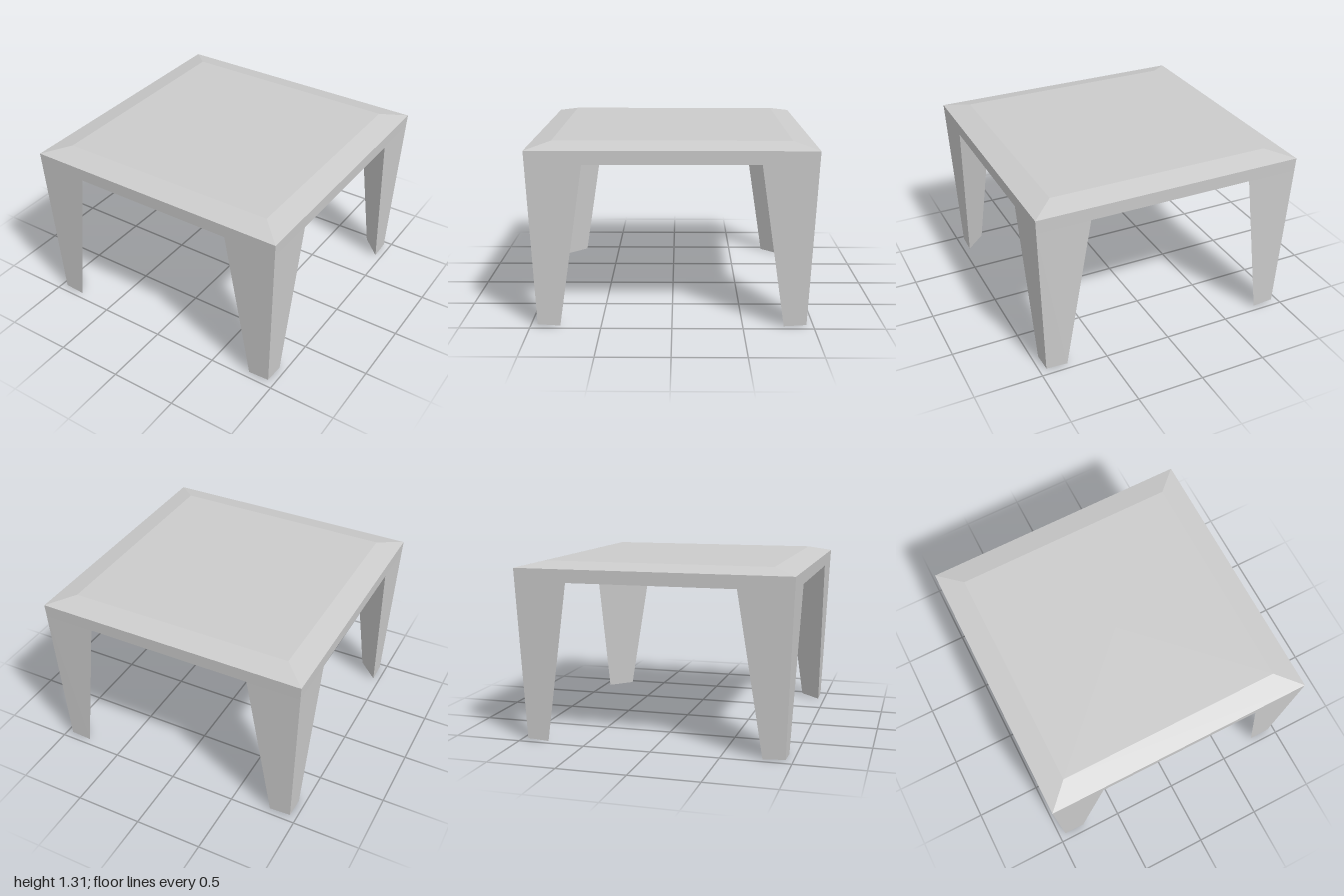
import * as THREE from 'three';
import { ConvexGeometry } from 'three/addons/geometries/ConvexGeometry.js';

const material = new THREE.MeshStandardMaterial({ color: 0xcccccc, flatShading: true });

// Square slab: profile of [half width, height] swept around four sides
function squareLoft(profile) {
  const points = profile.map(([half, y]) => new THREE.Vector2(half * Math.SQRT2, y));
  const geometry = new THREE.LatheGeometry(points, 4, Math.PI / 4).toNonIndexed();
  geometry.computeVertexNormals();
  return geometry;
}

// Tapered three-sided leg under the corner given by the signs sx, sz
function legGeometry(sx, sz) {
  const corners = [
    [0.996, 1.17, 0.996], [0.61, 1.17, 0.996], [0.996, 1.17, 0.61], // top
    [0.95, 0.01, 0.95], [0.79, 0, 0.95], [0.95, 0, 0.79], // foot
  ];
  return new ConvexGeometry(corners.map(([x, y, z]) => new THREE.Vector3(sx * x, y, sz * z)));
}

export function createModel() {
  const table = new THREE.Group();
  table.name = 'table';

  // Top with a slim apron and a wide shallow bevel
  const top = new THREE.Mesh(
    squareLoft([[0, 1.17], [0.996, 1.17], [1, 1.265], [0.83, 1.306], [0, 1.306]]),
    material
  );
  top.name = 'tableTop';
  table.add(top);

  // Four legs mirrored to the corners
  for (const [sx, side] of [[1, 'Left'], [-1, 'Right']]) {
    for (const [sz, end] of [[1, 'front'], [-1, 'back']]) {
      const leg = new THREE.Mesh(legGeometry(sx, sz), material);
      leg.name = `${end}${side}Leg`;
      table.add(leg);
    }
  }
  return table;
}
